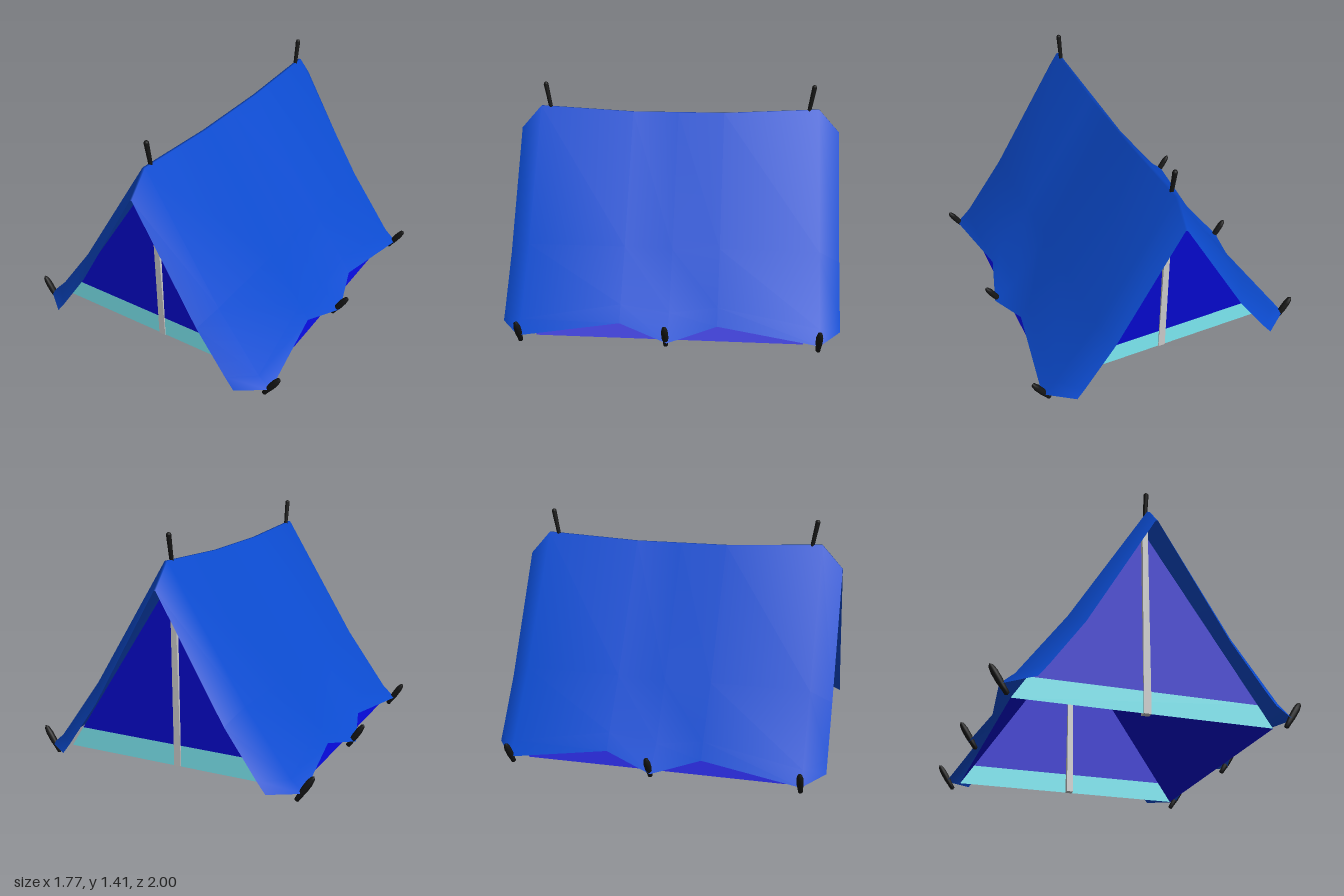
import * as THREE from 'three';

const mat = (color, side = THREE.FrontSide) => new THREE.MeshStandardMaterial({ color, side });
const V = (x, y, z) => new THREE.Vector3(x, y, z);

function add(parent, name, geometry, material) {
  const mesh = new THREE.Mesh(geometry, material);
  mesh.name = name;
  parent.add(mesh);
  return mesh;
}

// Rod between two points, with its own radius at each end
function rod(parent, name, a, b, ra, rb, sides, material) {
  const dir = b.clone().sub(a);
  const geometry = new THREE.CylinderGeometry(rb, ra, dir.length(), sides);
  geometry.rotateY(Math.PI / sides);
  const mesh = add(parent, name, sides > 4 ? geometry : geometry.toNonIndexed(), material);
  if (sides <= 4) mesh.geometry.computeVertexNormals();
  mesh.position.copy(a).add(b).multiplyScalar(0.5);
  mesh.quaternion.setFromUnitVectors(V(0, 1, 0), dir.normalize());
}

// Half cross-sections of the outer sheet, ridge to hem; the middle peg pulls in a valley
const half = [
  { z: 0, p: [[0.008, 1.23], [0.455, 0.485], [0.67, 0.165], [0.828, 0.045]] },
  { z: 0.285, p: [[0.008, 1.23], [0.475, 0.5], [0.685, 0.215], [0.745, 0.122]] },
  { z: 0.87, p: [[0.008, 1.26], [0.475, 0.5], [0.745, 0.13], [0.825, 0.06]] },
  { z: 0.998, p: [[0.006, 1.118], [0.41, 0.415], [0.6, 0.145], [0.655, 0.073]] },
];

function outerSheet() {
  const stations = [
    ...half.slice(1).reverse().map((s) => ({ z: -s.z, p: s.p })),
    ...half,
  ];
  const pos = [], index = [], n = 8;
  for (const { z, p } of stations) {
    for (const [x, y] of [...p].reverse()) pos.push(-x, y, z);
    for (const [x, y] of p) pos.push(x, y, z);
  }
  for (let i = 0; i < stations.length - 1; i++) {
    for (let j = 0; j < n - 1; j++) {
      const a = i * n + j, b = a + n;
      index.push(a, b, a + 1, a + 1, b, b + 1);
    }
  }
  const g = new THREE.BufferGeometry();
  g.setAttribute('position', new THREE.Float32BufferAttribute(pos, 3));
  g.setIndex(index);
  g.computeVertexNormals();
  return g;
}

const panel = (pts) =>
  new THREE.ShapeGeometry(new THREE.Shape(pts.map(([x, y]) => new THREE.Vector2(x, y))));

export function createModel() {
  const tent = new THREE.Group();
  tent.name = 'tent';
  const sheetMat = mat(0x0c4cd2, THREE.DoubleSide);
  const innerMat = mat(0x0508cc, THREE.DoubleSide);
  const bandMat = mat(0x7ceaf4, THREE.DoubleSide);
  const poleMat = mat(0xcccccc);
  const blackMat = mat(0x161616);

  add(tent, 'outerSheet', outerSheet(), sheetMat);

  // Sloping walls of the inner tent, which is open underneath
  const slope = Math.hypot(0.745, 1.14);
  for (const s of [1, -1]) {
    const wall = add(tent, s > 0 ? 'leftInnerWall' : 'rightInnerWall',
      new THREE.PlaneGeometry(1.56, slope), innerMat);
    wall.rotation.set(-Math.atan2(0.745, 1.14), s * Math.PI / 2, 0, 'YXZ');
    wall.position.set(0.3725 * s, 0.6, 0);
  }

  // End walls with their lower bands, and the poles
  const door = panel([[-0.66, 0.16], [0.66, 0.16], [0, 1.17]]);
  const band = panel([[-0.745, 0.03], [0.745, 0.03], [0.66, 0.16], [-0.66, 0.16]]);
  for (const s of [1, -1]) {
    const end = new THREE.Group();
    end.name = s > 0 ? 'frontEnd' : 'backEnd';
    end.rotation.y = s > 0 ? 0 : Math.PI;
    tent.add(end);
    add(end, 'doorWall', door, innerMat).position.z = 0.78;
    add(end, 'doorBand', band, bandMat).position.z = 0.78;
    rod(end, 'pole', V(0, 0.03, 0.763), V(0, 1.24, 0.795), 0.031, 0.022, 4, poleMat);
    // Black tip sticking out through the ridge
    rod(end, 'poleTip', V(0, 1.2, 0.8), V(0, 1.4, 0.837), 0.011, 0.015, 12, blackMat);
    const cap = add(end, 'poleTipCap', new THREE.SphereGeometry(0.015, 12, 8), blackMat);
    cap.position.set(0, 1.397, 0.836);
  }

  // Ground pegs, spindle shaped and leaning outwards
  const pegGeo = new THREE.LatheGeometry(
    [[0, -0.095], [0.014, -0.088], [0.016, -0.05], [0.02, -0.01], [0.02, 0.045], [0.014, 0.08], [0, 0.095]]
      .map(([x, y]) => new THREE.Vector2(x, y)), 12);
  for (const s of [1, -1]) {
    for (const z of [-0.865, 0.01 * s, 0.865]) {
      const peg = add(tent, s > 0 ? 'leftPeg' : 'rightPeg', pegGeo, blackMat);
      peg.position.set(0.828 * s, 0.088, z);
      peg.rotation.z = -0.57 * s;
    }
  }
  return tent;
}
